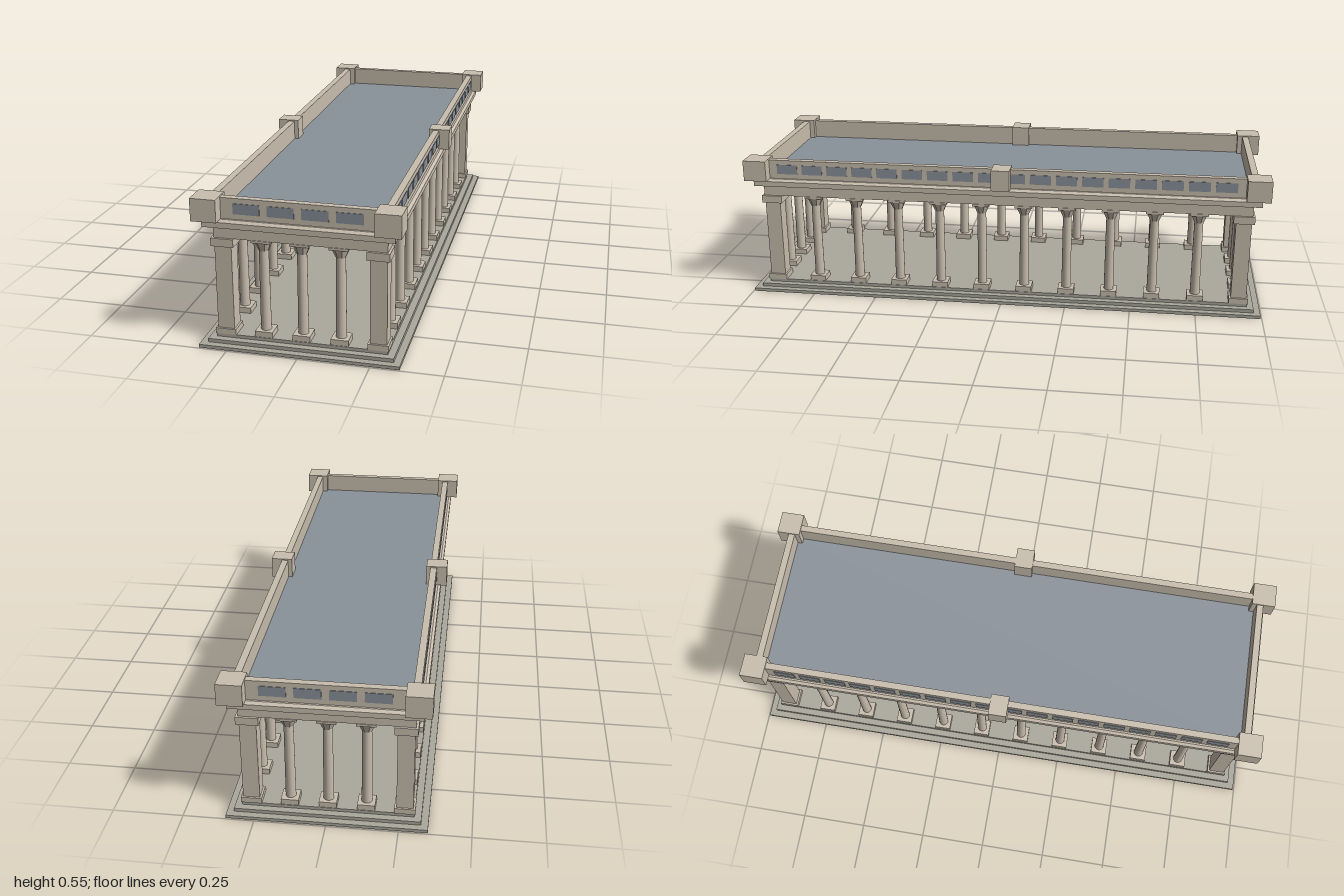
import * as THREE from 'three';

export function createModel() {
  const model = new THREE.Group();
  model.name = 'colonnadePavilion';

  const material = (name, color, flatShading = false) => {
    const m = new THREE.MeshStandardMaterial({ color, flatShading });
    m.name = name;
    return m;
  };
  const stone = material('warmStone', 0xcabfaf);
  const paving = material('greyPaving', 0xaba99d);
  const slate = material('blueSlate', 0x8a929a);

  const add = (name, geometry, mat, x = 0, y = 0, z = 0, parent = model) => {
    const mesh = new THREE.Mesh(geometry, mat);
    mesh.name = name;
    mesh.position.set(x, y, z);
    parent.add(mesh);
    return mesh;
  };
  // Box given by its bottom and top heights
  const block = (name, mat, w, d, y0, y1, x = 0, z = 0, parent = model) =>
    add(name, new THREE.BoxGeometry(w, y1 - y0, d), mat, x, (y0 + y1) / 2, z, parent);

  // The building is longer than wide by this much on each half
  const EXTRA = 0.645;

  // Mitred rectangular ring; profile is [half width, height], up the outside first
  function ring(name, profile, mat) {
    const corners = [[1, 1], [-1, 1], [-1, -1], [1, -1]];
    const at = (c, p) => [c[0] * p[0], p[1], c[1] * (p[0] + EXTRA)];
    const pos = [];
    corners.forEach((c0, i) => {
      const c1 = corners[(i + 1) % 4];
      profile.forEach((p0, j) => {
        const p1 = profile[(j + 1) % profile.length];
        const a = at(c0, p0), b = at(c0, p1), c = at(c1, p0), d = at(c1, p1);
        pos.push(...a, ...b, ...c, ...c, ...b, ...d);
      });
    });
    const g = new THREE.BufferGeometry();
    g.setAttribute('position', new THREE.Float32BufferAttribute(pos, 3));
    g.computeVertexNormals();
    return add(name, g, mat);
  }

  // Stepped platform
  [[0.35, 0, 0.012], [0.325, 0.012, 0.025], [0.3, 0.025, 0.037]].forEach(([h, y0, y1], i) =>
    block(`platformStep${i + 1}`, paving, h * 2, (h + EXTRA) * 2, y0, y1));

  // Corner piers
  const PX = 0.267, PZ = 0.912;
  for (const sx of [-1, 1]) for (const sz of [-1, 1]) {
    const pier = new THREE.Group();
    pier.name = 'cornerPier';
    pier.position.set(sx * PX, 0, sz * PZ);
    model.add(pier);
    block('pierBase', stone, 0.073, 0.073, 0.037, 0.058, 0, 0, pier);
    block('pierShaft', stone, 0.059, 0.059, 0.058, 0.362, 0, 0, pier);
    block('pierCap', stone, 0.079, 0.079, 0.362, 0.391, 0, 0, pier);
  }

  // Round columns with faceted capitals
  const shaftGeo = new THREE.CylinderGeometry(0.0168, 0.0185, 0.292, 20);
  const capitalGeo = new THREE.CylinderGeometry(0.0325, 0.0185, 0.033, 8).rotateY(Math.PI / 8).toNonIndexed();
  capitalGeo.computeVertexNormals();
  function column(x, z) {
    const col = new THREE.Group();
    col.name = 'column';
    col.position.set(x, 0, z);
    model.add(col);
    block('columnBase', stone, 0.062, 0.062, 0.037, 0.058, 0, 0, col);
    add('columnShaft', shaftGeo, stone, 0, 0.204, 0, col);
    add('columnCapital', capitalGeo, stone, 0, 0.3665, 0, col);
    block('columnAbacus', stone, 0.067, 0.067, 0.383, 0.392, 0, 0, col);
  }
  for (const s of [-1, 1]) {
    for (let i = -1; i <= 1; i++) column(i * 0.133, s * PZ);
    for (let i = 0; i < 10; i++) column(s * PX, (i - 4.5) * 0.166);
  }

  // Entablature, cornice and parapet
  ring('architrave', [[0.298, 0.391], [0.298, 0.438], [0.24, 0.438], [0.24, 0.391]], stone);
  ring('cornice', [[0.327, 0.437], [0.327, 0.457], [0.317, 0.466], [0.27, 0.466], [0.27, 0.437]], stone);
  ring('parapet', [[0.31, 0.464], [0.31, 0.54], [0.285, 0.54], [0.285, 0.464]], stone);

  // Roof slab, also the ceiling
  block('roofSlab', slate, 0.572, 1.862, 0.43, 0.468);

  // Parapet corner and middle blocks
  for (const sx of [-1, 1]) {
    for (const sz of [-1, 1])
      block('parapetCornerBlock', stone, 0.089, 0.089, 0.465, 0.545, sx * 0.309, sz * 0.9555);
    block('parapetMiddleBlock', stone, 0.081, 0.07, 0.465, 0.545, sx * 0.31, 0);
  }

  // Inset parapet panels
  for (const s of [-1, 1]) {
    for (let i = 0; i < 4; i++)
      block('endPanel', slate, 0.092, 0.004, 0.485, 0.522, (i - 1.5) * 0.117, s * 0.955);
    for (let i = 0; i < 18; i++)
      block('sidePanel', slate, 0.004, 0.08, 0.485, 0.522, s * 0.31, (i - 8.5) * 0.0988);
  }

  return model;
}
